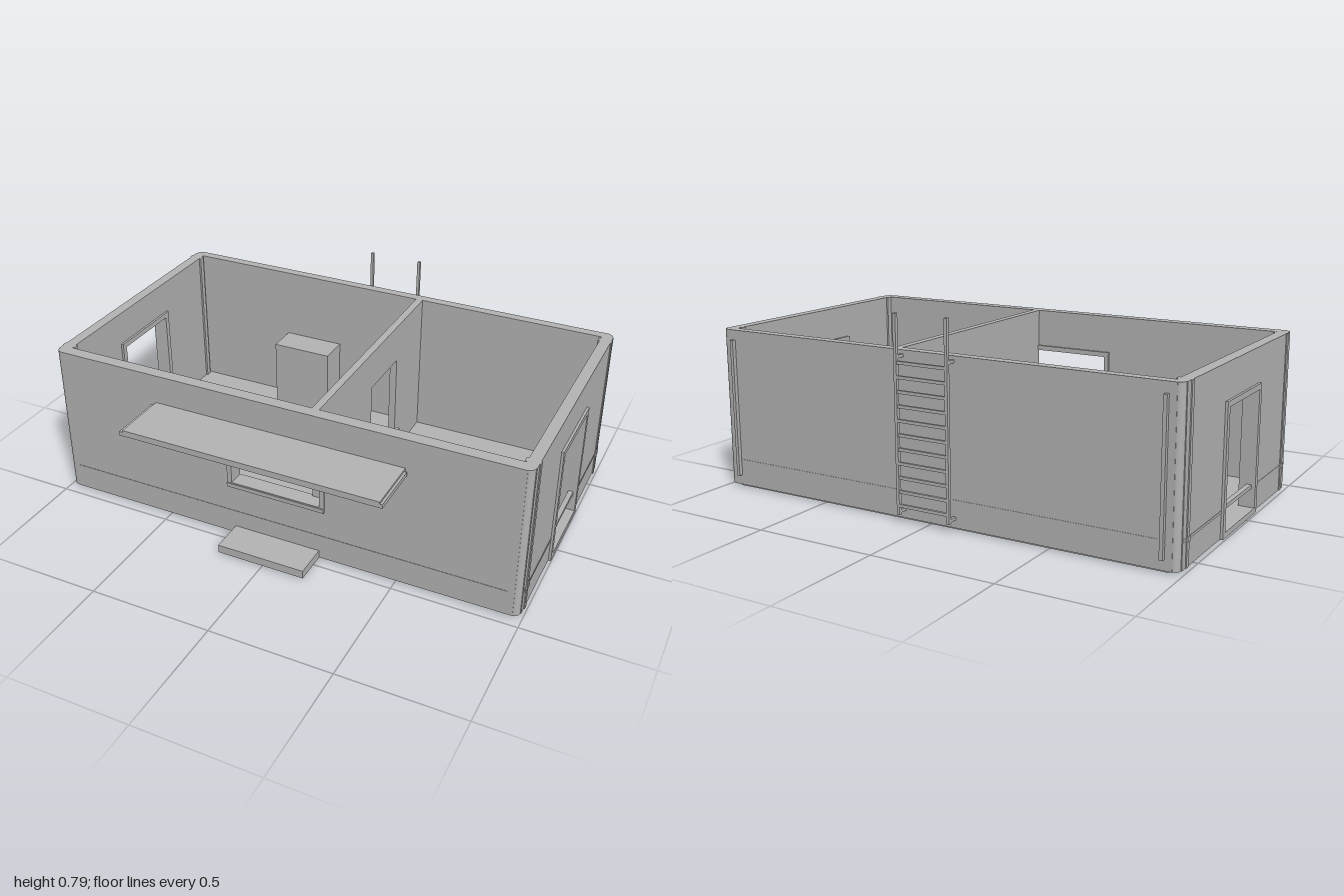
import * as THREE from 'three';

export function createModel() {
  const group = new THREE.Group();
  const grey = new THREE.MeshStandardMaterial({ color: 0xb4b4b4 });
  grey.name = 'plain grey';

  function add(name, geometry, parent = group) {
    const mesh = new THREE.Mesh(geometry, grey);
    mesh.name = name;
    parent.add(mesh);
    return mesh;
  }
  // Box given by its limits along each axis
  function box(name, x0, x1, y0, y1, z0, z1, parent = group) {
    const g = new THREE.BoxGeometry(x1 - x0, y1 - y0, z1 - z0);
    g.translate((x0 + x1) / 2, (y0 + y1) / 2, (z0 + z1) / 2);
    return add(name, g, parent);
  }
  function rect(target, a0, a1, b0, b1) {
    target.moveTo(a0, b0);
    target.lineTo(a1, b0);
    target.lineTo(a1, b1);
    target.lineTo(a0, b1);
    target.closePath();
    return target;
  }
  // Upright panel with one optional rectangular hole
  function panel(outer, hole, depth) {
    const shape = rect(new THREE.Shape(), ...outer);
    if (hole) shape.holes.push(rect(new THREE.Path(), ...hole));
    return new THREE.ExtrudeGeometry(shape, { depth, bevelEnabled: false });
  }
  // Same panel turned so its width runs along z, filling x0..x1
  function sidePanel(outer, hole, x0, x1) {
    return panel(outer, hole, x1 - x0).rotateY(-Math.PI / 2).translate(x1, 0, 0);
  }

  const H = 0.65, FRONT = 0.46, BACK = -0.645;

  // Floor, with clipped corners, and a slightly smaller underside
  function slab(name, hx, z0, z1, c, y0, y1) {
    const s = new THREE.Shape();
    [[-hx + c, z0], [hx - c, z0], [hx, z0 + c], [hx, z1 - c], [hx - c, z1], [-hx + c, z1], [-hx, z1 - c], [-hx, z0 + c]]
      .forEach(([x, z], i) => (i ? s.lineTo(x, -z) : s.moveTo(x, -z)));
    s.closePath();
    const g = new THREE.ExtrudeGeometry(s, { depth: y1 - y0, bevelEnabled: false });
    add(name, g.rotateX(-Math.PI / 2).translate(0, y0, 0));
  }
  slab('underside', 0.975, -0.63, 0.445, 0.03, 0, 0.012);
  slab('floor', 0.985, -0.64, 0.455, 0.035, 0.012, 0.03);

  // Front and back walls
  const windowHole = [-0.195, 0.185, 0.255, 0.475];
  add('frontWall', panel([-0.965, 0.965, 0.01, H], windowHole, 0.05)).position.z = FRONT - 0.05;
  box('backWall', -0.965, 0.965, 0.01, H, BACK, BACK + 0.04);

  // Front window frame and its sill
  add('windowFrame', panel([-0.215, 0.205, 0.235, 0.495], windowHole, 0.067)).position.z = 0.4;
  box('windowSill', -0.215, 0.205, 0.235, 0.252, 0.46, 0.472);

  // Side walls with doorways, frames and threshold rails
  const doorHole = [-0.245, 0.065, 0.03, 0.49];
  for (const s of [-1, 1]) {
    const span = (a, b) => (s > 0 ? [a, b] : [-b, -a]);
    add('sideWall', sidePanel([-0.62, 0.435, 0.01, H], doorHole, ...span(0.945, 0.99)));
    add('doorFrame', sidePanel([-0.268, 0.088, 0.008, 0.512], doorHole, ...span(0.935, 1)));
    box('doorRail', ...span(0.965, 0.985), 0.105, 0.12, -0.245, 0.065);
    for (const [z0, z1] of [[-0.62, -0.268], [0.088, 0.435]])
      box('sideSeam', ...span(0.989, 0.9915), 0.107, 0.117, z0, z1);

    // Corner posts and the trim strips beside them
    for (const [z, zi] of [[0.435, -1], [-0.62, 1]]) {
      const post = new THREE.CylinderGeometry(0.024, 0.024, H - 0.01, 16);
      add('cornerPost', post.translate(s * 0.963, H / 2 + 0.005, z));
      const c = z + zi * 0.04;
      box('cornerTrim', ...span(0.989, 0.994), 0.01, H, c - 0.01, c + 0.01);
      box('innerTrim', ...span(0.937, 0.946), 0.03, H, c - 0.012, c + 0.012);
      box('seamEnd', ...span(0.988, 0.997), 0.103, 0.121, c - 0.013, c + 0.013);
    }
    // Thin pipe on the back wall
    box('backPipe', ...span(0.924, 0.938), 0.05, 0.61, -0.661, BACK);
  }
  box('frontSeam', -0.94, 0.94, 0.107, 0.117, 0.459, 0.4615);
  box('backSeam', -0.94, 0.94, 0.107, 0.117, -0.6465, -0.644);

  // Inner partition with its doorway
  add('partition', sidePanel([-0.605, 0.41, 0.03, H], [-0.33, -0.07, 0.031, 0.49], 0.13, 0.16));

  // Canopy with stepped ends, and front step
  box('canopy', -0.525, 0.525, 0.505, 0.53, 0.46, 0.688);
  for (const [a, b] of [[-0.54, -0.525], [0.525, 0.535]])
    box('canopyEdge', a, b, 0.505, 0.522, 0.47, 0.688);
  box('frontStep', -0.19, 0.18, 0.008, 0.042, 0.46, 0.6);

  // Cabinet in the left-hand room
  box('cabinet', -0.5, -0.235, 0.03, 0.345, -0.605, -0.475);

  // Seat beside the partition
  const seat = new THREE.Group();
  seat.name = 'seat';
  group.add(seat);
  box('seatBase', 0.16, 0.27, 0.03, 0.225, -0.06, 0.1, seat);
  box('seatTop', 0.16, 0.295, 0.23, 0.25, -0.07, 0.12, seat);
  box('seatPanel', 0.28, 0.292, 0.235, 0.345, -0.055, 0.105, seat);

  // Ladder on the back wall
  const ladder = new THREE.Group();
  ladder.name = 'ladder';
  group.add(ladder);
  for (const x of [-0.113, 0.107]) {
    box('ladderRail', x - 0.006, x + 0.006, 0.035, 0.79, -0.69, -0.676, ladder);
    for (const y of [0.047, 0.63])
      box('ladderBracket', x - 0.006, x + 0.006, y - 0.006, y + 0.006, -0.677, BACK, ladder);
  }
  for (let i = 0; i < 11; i++) {
    const y = 0.07 + i * 0.054;
    box('ladderRung', -0.11, 0.105, y - 0.006, y + 0.006, -0.688, -0.677, ladder);
  }
  return group;
}
